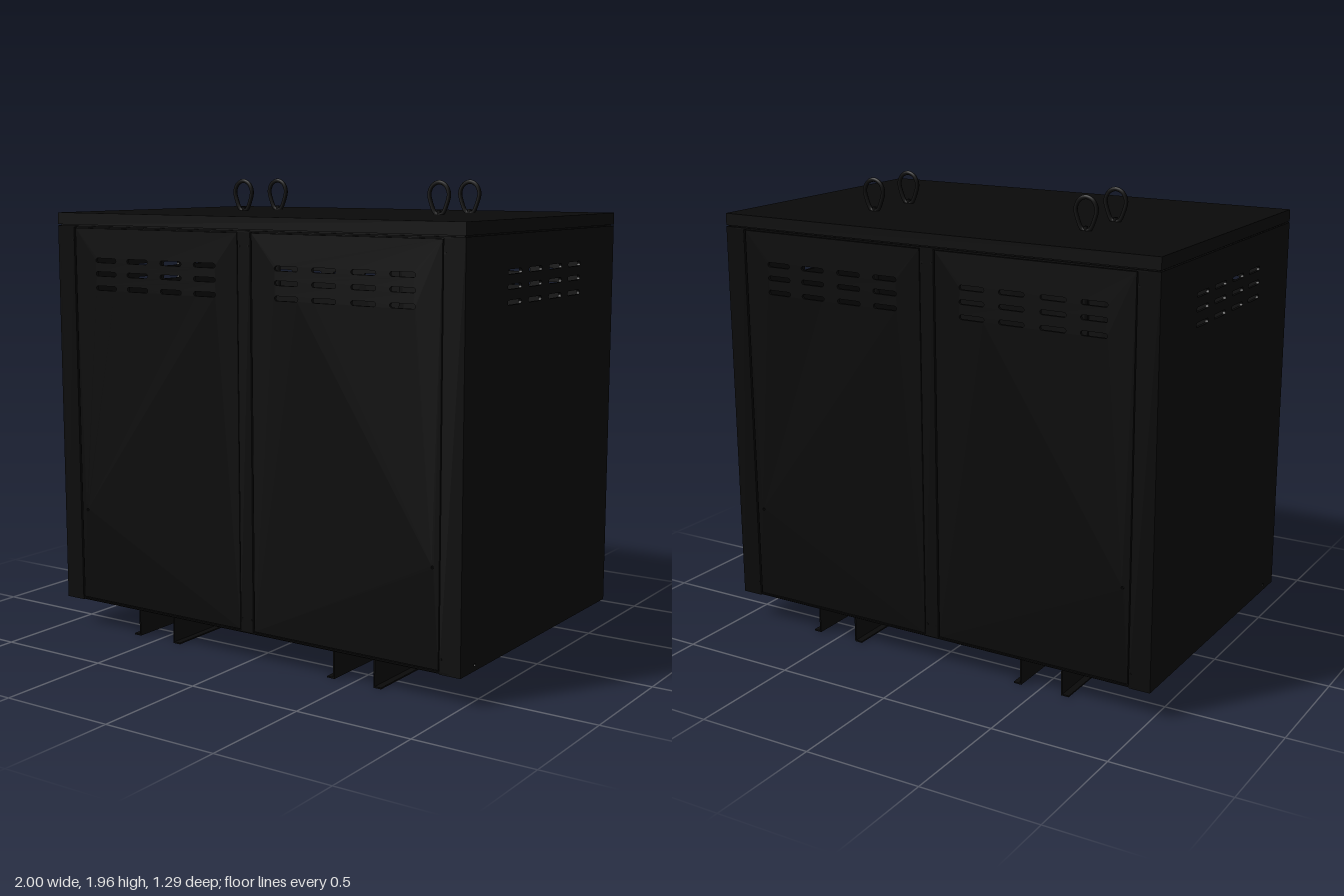
import * as THREE from 'three';

const black = new THREE.MeshStandardMaterial({ color: 0x0a0a0a, side: THREE.DoubleSide });
const HZ = 0.645; // half depth of the cabinet
const SLOT_ROWS = [1.505, 1.565, 1.622];

function add(parent, name, geometry, x = 0, y = 0, z = 0) {
  const mesh = new THREE.Mesh(geometry, black);
  mesh.name = name;
  mesh.position.set(x, y, z);
  parent.add(mesh);
  return mesh;
}

const box = (w, h, d) => new THREE.BoxGeometry(w, h, d);

function rectangle(Type, x0, x1, y0, y1) {
  const p = [[x0, y0], [x1, y0], [x1, y1], [x0, y1]];
  return new Type(p.map(([x, y]) => new THREE.Vector2(x, y)));
}

// Round-ended vent slot
function slot(cx, cy, width, height) {
  const r = height / 2, a = width / 2 - r;
  const path = new THREE.Path();
  path.absarc(cx + a, cy, r, -Math.PI / 2, Math.PI / 2);
  path.absarc(cx - a, cy, r, Math.PI / 2, Math.PI * 1.5);
  path.closePath();
  return path;
}

const pinHole = (x, y) => new THREE.Path().absarc(x, y, 0.006, 0, Math.PI * 2);

// Sheet metal with cut-outs
function sheet(x0, x1, y0, y1, holes, depth) {
  const shape = rectangle(THREE.Shape, x0, x1, y0, y1);
  shape.holes.push(...holes);
  return new THREE.ExtrudeGeometry(shape, { depth, bevelEnabled: false, curveSegments: 6 });
}

function vents(centres, width) {
  return centres.flatMap(x => SLOT_ROWS.map(y => slot(x, y, width, 0.019)));
}

// One door face: frame, posts, two louvred doors and screws
function createDoorFace(name) {
  const face = new THREE.Group();
  face.name = name;
  const openings = [-1, 1].map(s => rectangle(THREE.Path, s * 0.47 - 0.415, s * 0.47 + 0.415, 0.15, 1.74));
  add(face, 'innerFrame', sheet(-0.99, 0.99, 0.125, 1.765, openings, 0.015), 0, 0, HZ - 0.03);
  add(face, 'centrePost', box(0.062, 1.632, 0.015), 0, 0.946, HZ - 0.0075);
  add(face, 'doorSill', box(1.9, 0.006, 0.015), 0, 0.128, HZ - 0.0075);
  add(face, 'doorHeader', box(1.9, 0.006, 0.015), 0, 1.762, HZ - 0.0075);
  for (const s of [-1, 1]) {
    add(face, 'cornerPost', box(0.092, 1.645, 0.015), s * 0.954, 0.9425, HZ - 0.0075);
    const holes = vents([0.203, 0.38, 0.56, 0.733].map(x => s * x), 0.112);
    holes.push(pinHole(s * 0.872, 0.53));
    const edges = [s * 0.036, s * 0.902].sort((a, b) => a - b);
    add(face, 'door', sheet(edges[0], edges[1], 0.134, 1.756, holes, 0.012), 0, 0, HZ - 0.015);
    for (const [x, y] of [[0.915, 1.705], [0.915, 0.18], [0.022, 1.705], [0.022, 0.18]]) {
      const screw = add(face, 'screw', new THREE.CylinderGeometry(0.005, 0.005, 0.003, 8), s * x, y, HZ - 0.0005);
      screw.rotation.x = Math.PI / 2;
    }
  }
  return face;
}

// Closed teardrop lifting eye with a shank below the roof
function createLiftingEye(x, z) {
  const eye = new THREE.Group();
  eye.name = 'liftingEye';
  const points = [[-0.014, 0], [-0.038, 0.045], [-0.046, 0.085], [-0.03, 0.117], [0, 0.129],
    [0.03, 0.117], [0.046, 0.085], [0.038, 0.045], [0.014, 0]];
  const curve = new THREE.CatmullRomCurve3(points.map(([px, py]) => new THREE.Vector3(px, py, 0)), true);
  add(eye, 'eyeLoop', new THREE.TubeGeometry(curve, 48, 0.009, 8, true));
  add(eye, 'eyeFoot', new THREE.CylinderGeometry(0.009, 0.009, 0.03, 12));
  add(eye, 'eyeShank', new THREE.CylinderGeometry(0.012, 0.012, 0.32, 12), 0, -0.2, 0);
  eye.position.set(x, 1.822, z);
  return eye;
}

// Hat-section runner along the depth of the cabinet
function createRunner(x) {
  const half = [[0.127, 0], [0.127, 0.006], [0.098, 0.006], [0.098, 0.12]];
  const inner = [[0.092, 0.114], [0.092, 0]];
  const mirror = list => list.map(([px, py]) => [-px, py]).reverse();
  const outline = [...half, ...mirror(half), ...mirror(inner), ...inner];
  const shape = new THREE.Shape(outline.map(([px, py]) => new THREE.Vector2(px, py)));
  const geometry = new THREE.ExtrudeGeometry(shape, { depth: 1.24, bevelEnabled: false });
  geometry.translate(0, 0, -0.62);
  const runner = new THREE.Mesh(geometry, black);
  runner.name = 'baseRunner';
  runner.position.x = x;
  return runner;
}

export function createModel() {
  const model = new THREE.Group();
  model.name = 'equipmentCabinet';

  // Roof with a narrow shadow gap, and floor
  add(model, 'roof', box(2, 0.05, HZ * 2), 0, 1.795, 0);
  add(model, 'roofSpacer', box(1.98, 0.008, HZ * 2 - 0.02), 0, 1.768, 0);
  add(model, 'floor', box(1.99, 0.01, HZ * 2 - 0.01), 0, 0.126, 0);

  // Matching doors at front and back
  model.add(createDoorFace('frontFace'));
  const back = createDoorFace('backFace');
  back.rotation.y = Math.PI;
  model.add(back);

  for (const s of [-1, 1]) {
    // Louvred side wall
    const holes = vents([-0.26, -0.088, 0.088, 0.26], 0.112);
    holes.push(pinHole(-s * 0.535, 0.145));
    const wall = add(model, 'sideWall', sheet(-HZ, HZ, 0.12, 1.765, holes, 0.012), s * 0.988, 0, 0);
    wall.rotation.y = s * Math.PI / 2;

    model.add(createRunner(s * 0.507));
    for (const z of [-0.017, -0.275]) model.add(createLiftingEye(s * 0.503, z));
  }
  return model;
}
